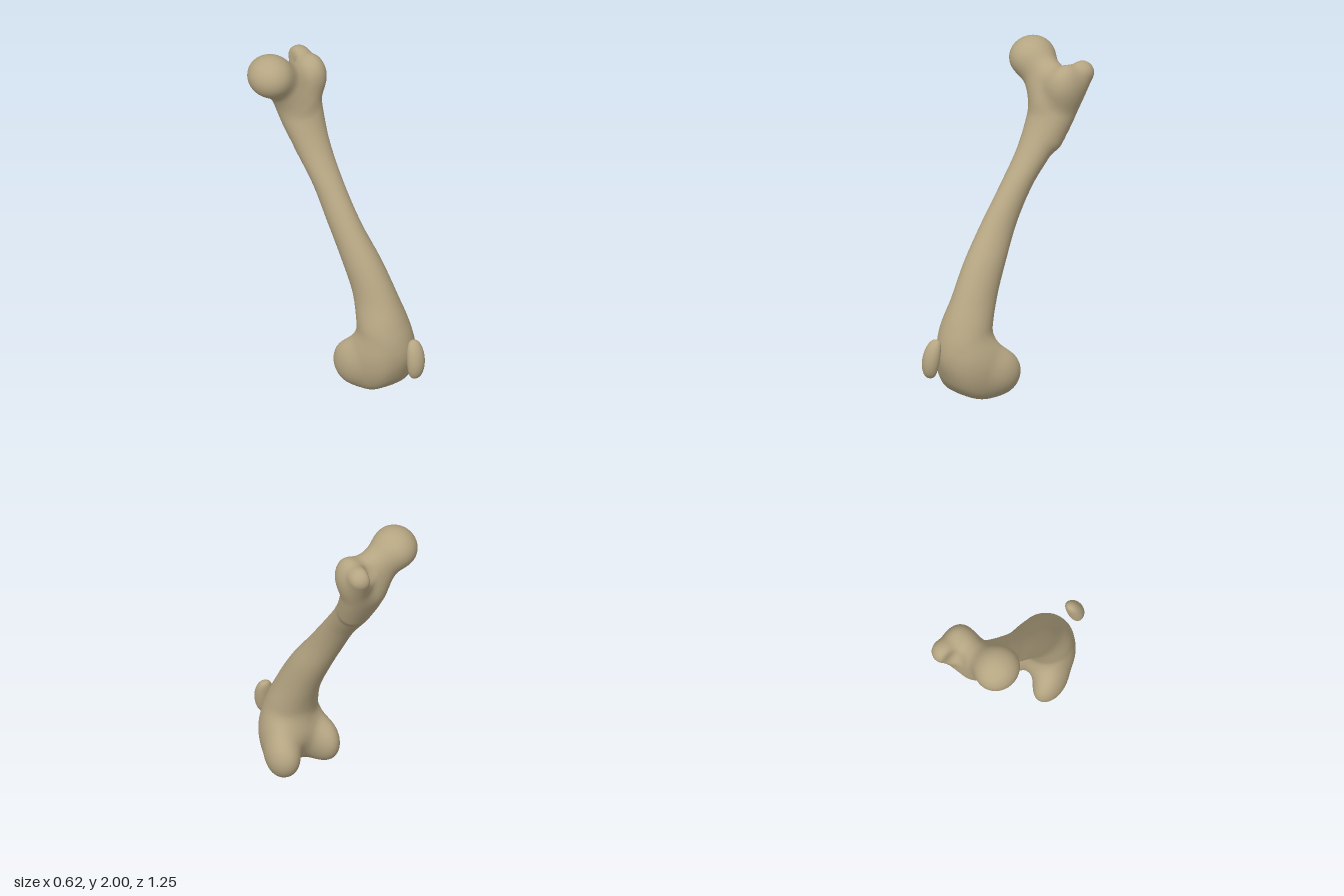
import * as THREE from 'three';

// Smooth union, and smooth intersection, of two distances
const smin = (a, b, k) => {
  const h = Math.max(k - Math.abs(a - b), 0) / k;
  return Math.min(a, b) - h * h * k / 4;
};
const smax = (a, b, k) => -smin(-a, -b, k);

// Distance to an ellipsoid turned about y
function blob([cx, cy, cz], [rx, ry, rz], yaw = 0) {
  const c = Math.cos(yaw), s = Math.sin(yaw);
  return (px, py, pz) => {
    const dx = px - cx, dz = pz - cz;
    const x = (dx * c - dz * s) / rx, y = (py - cy) / ry, z = (dx * s + dz * c) / rz;
    const k = Math.hypot(x, y, z);
    return k * (k - 1) / (Math.hypot(x / rx, y / ry, z / rz) + 1e-6);
  };
}

// Tapered capsule between two points
function limb(a, b, ra, rb) {
  const A = new THREE.Vector3(...a), D = new THREE.Vector3(...b).sub(A), P = new THREE.Vector3();
  return (x, y, z) => {
    P.set(x, y, z).sub(A);
    const t = THREE.MathUtils.clamp(P.dot(D) / D.lengthSq(), 0, 1);
    return P.addScaledVector(D, -t).length() - THREE.MathUtils.lerp(ra, rb, t);
  };
}

// Shaft: oval cross-sections every 0.2 in y, as centre x, radius x, centre z, radius z
const sections = [
  0.075, 0.150, 0.300, 0.165,
  0.063, 0.158, 0.298, 0.157,
  0.058, 0.122, 0.225, 0.145,
  0.039, 0.106, 0.122, 0.137,
  0.018, 0.088, -0.005, 0.120,
  0.015, 0.085, -0.142, 0.108,
  0.018, 0.107, -0.295, 0.115,
  0.018, 0.140, -0.402, 0.117,
  0.025, 0.145, -0.430, 0.095,
];
const heights = Array.from({ length: 9 }, (_, i) => 0.2 + 0.2 * i);
const spline = new THREE.CubicInterpolant(heights, sections, 4, new Float32Array(4));

function shaft(x, y, z) {
  const [cx, rx, cz, rz] = spline.evaluate(y);
  const u = (x - cx) / rx, v = (z - cz) / rz, k = Math.hypot(u, v);
  const side = 0.9 * k * (k - 1) / (Math.hypot(u / rx, v / rz) + 1e-6);
  return smax(side, Math.max(0.2 - y, y - 1.82), 0.12);
}

// Swellings at both ends: [distance, blend width]
const lobes = [
  [blob([0.075, 0.235, 0.3], [0.145, 0.21, 0.165]), 0.07],              // knee front
  [blob([0.19, 0.172, 0.24], [0.085, 0.165, 0.165], -0.3), 0.09],       // left condyle
  [blob([-0.045, 0.172, 0.245], [0.08, 0.162, 0.16], 0.25), 0.09],      // right condyle
  [blob([0.22, 0.157, 0.14], [0.085, 0.112, 0.107]), 0.07],             // left condyle back
  [blob([-0.083, 0.16, 0.155], [0.068, 0.115, 0.107]), 0.07],           // right condyle back
  [limb([-0.16, 1.87, -0.44], [0.05, 1.785, -0.43], 0.085, 0.088), 0.05], // neck top
  [limb([-0.16, 1.87, -0.44], [0, 1.66, -0.415], 0.098, 0.105), 0.05],  // neck underside
  [limb([0.138, 1.838, -0.55], [0.075, 1.45, -0.37], 0.07, 0.058), 0.06], // trochanter ridge
  [blob([0.135, 1.785, -0.425], [0.07, 0.115, 0.085]), 0.08],           // trochanter front
  [blob([-0.185, 1.88, -0.44], [0.124, 0.12, 0.138]), 0.06],            // ball head
];
const fossa = blob([0.055, 1.85, -0.57], [0.035, 0.06, 0.05]);

function femurField(x, y, z) {
  let d = shaft(x, y, z);
  for (const [f, k] of lobes) d = smin(d, f(x, y, z), k);
  return smax(d, -fossa(x, y, z), 0.05);
}

function gradient(f, x, y, z, e = 0.003) {
  return new THREE.Vector3(
    f(x + e, y, z) - f(x - e, y, z),
    f(x, y + e, z) - f(x, y - e, z),
    f(x, y, z + e) - f(x, y, z - e)).divideScalar(2 * e);
}

// Skin a distance field: one vertex per crossed grid cell, one quad per crossed grid edge
function skin(field, min, max, step) {
  const n = min.map((m, i) => Math.ceil((max[i] - m) / step) + 1);
  const stride = [1, n[0], n[0] * n[1]];
  const val = new Float32Array(n[0] * n[1] * n[2]).fill(1);
  const cells = new Map(), pos = [], nor = [], index = [];
  const each = (fn) => {
    for (let k = 0; k < n[2] - 1; k++)
      for (let j = 0; j < n[1] - 1; j++)
        for (let i = 0; i < n[0] - 1; i++) fn([i, j, k], i + j * stride[1] + k * stride[2]);
  };
  each((c, id) => { val[id] = field(...c.map((q, a) => min[a] + q * step)); });

  each((c, id) => {
    const sum = new THREE.Vector3();
    let hits = 0;
    for (let corner = 0; corner < 8; corner++)
      for (let a = 0; a < 3; a++) {
        if (corner >> a & 1) continue;
        const o = [corner & 1, corner >> 1 & 1, corner >> 2 & 1];
        const p = id + o[0] + o[1] * stride[1] + o[2] * stride[2];
        const v0 = val[p], v1 = val[p + stride[a]];
        if ((v0 < 0) === (v1 < 0)) continue;
        o[a] = v0 / (v0 - v1);
        sum.add(new THREE.Vector3(...o));
        hits++;
      }
    if (!hits) return;
    const p = new THREE.Vector3(...c).addScaledVector(sum, 1 / hits)
      .multiplyScalar(step).add(new THREE.Vector3(...min));
    const g = gradient(field, p.x, p.y, p.z);
    p.addScaledVector(g, -field(p.x, p.y, p.z) / Math.max(g.lengthSq(), 0.3));
    const normal = gradient(field, p.x, p.y, p.z).normalize();
    cells.set(id, pos.length / 3);
    pos.push(p.x, p.y, p.z);
    nor.push(normal.x, normal.y, normal.z);
  });

  each((c, id) => {
    for (let a = 0; a < 3; a++) {
      const inside = val[id] < 0;
      if (inside === (val[id + stride[a]] < 0)) continue;
      const u = stride[(a + 1) % 3], v = stride[(a + 2) % 3];
      const q = [id - u - v, id - v, id, id - u].map((k) => cells.get(k));
      if (!inside) q.reverse();
      index.push(q[0], q[1], q[2], q[0], q[2], q[3]);
    }
  });

  const geo = new THREE.BufferGeometry();
  geo.setAttribute('position', new THREE.Float32BufferAttribute(pos, 3));
  geo.setAttribute('normal', new THREE.Float32BufferAttribute(nor, 3));
  geo.setIndex(index);
  return geo;
}

// Kneecap: a blunt flattened ball, bulging forward and leaning back at the top
function kneecapGeometry() {
  const geo = new THREE.SphereGeometry(1, 32, 24);
  const p = geo.attributes.position;
  for (let i = 0; i < p.count; i++) {
    const x = p.getX(i), y = p.getY(i), z = p.getZ(i);
    const blunt = Math.max(Math.hypot(x, z), 1e-3) ** -0.25;
    p.setXYZ(i, x * blunt * 0.056 + y * 0.008, y * 0.117,
      z * blunt * (z > 0 ? 0.051 : 0.045) - 0.016 * y - 0.014 * y * y);
  }
  geo.computeVertexNormals();
  return geo;
}

export function createModel() {
  const bone = new THREE.MeshStandardMaterial({ color: 0xb5a582 });
  bone.name = 'bone';
  const group = new THREE.Group();
  group.name = 'thighBone';
  const add = (name, geo) => {
    const mesh = new THREE.Mesh(geo, bone);
    mesh.name = name;
    group.add(mesh);
    return mesh;
  };
  add('femur', skin(femurField, [-0.4, -0.06, -0.72], [0.42, 2.1, 0.58], 0.018));
  add('kneecap', kneecapGeometry()).position.set(0.072, 0.297, 0.573);
  return group;
}
